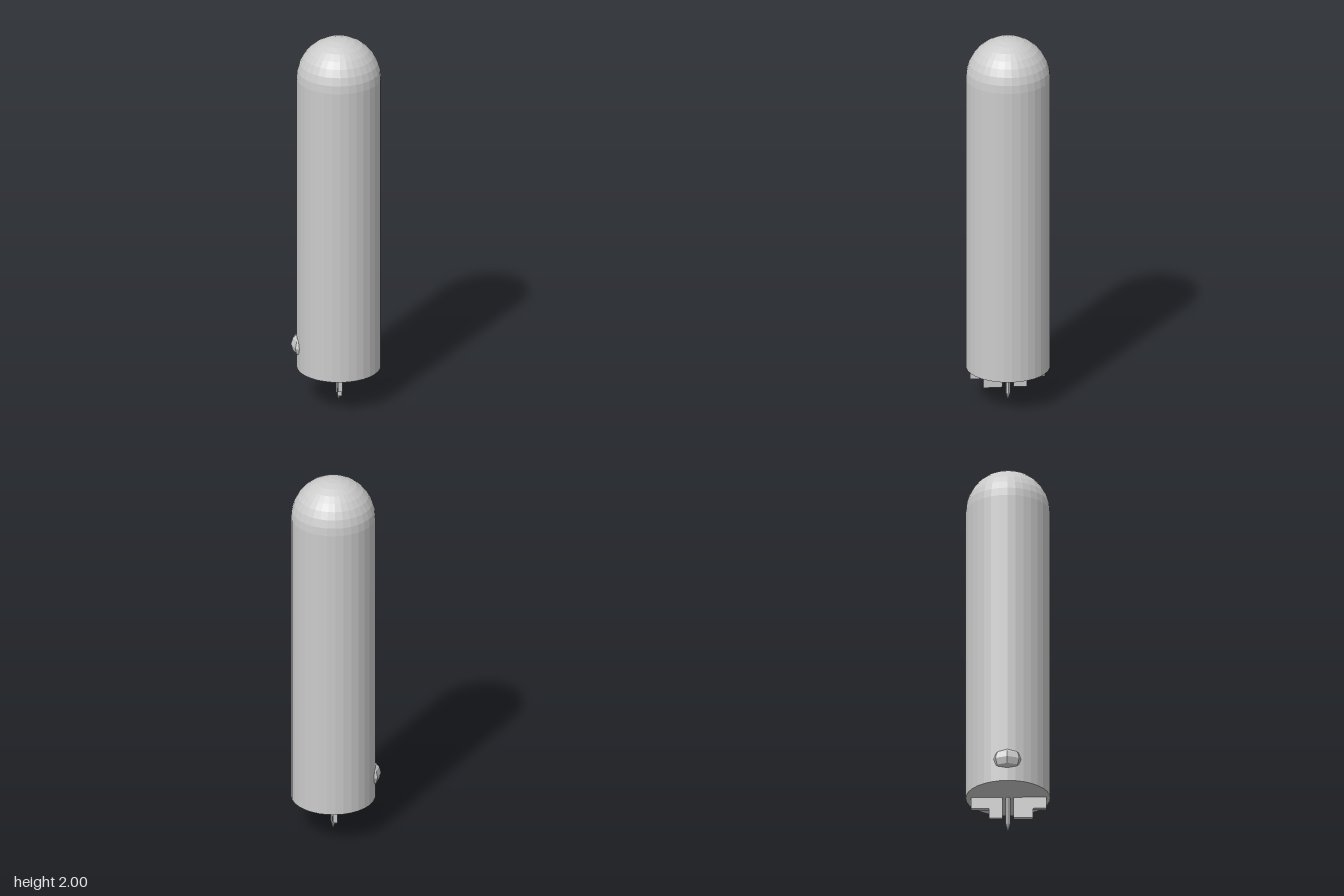
import * as THREE from 'three';

const AXIS_X = 0.013; // the body axis sits slightly left of centre because of the button

export function createModel() {
  const model = new THREE.Group();
  const material = new THREE.MeshStandardMaterial({ color: 0xcccccc, flatShading: true });
  const add = (name, geometry, x, y, z) => {
    const mesh = new THREE.Mesh(geometry, material);
    mesh.name = name;
    mesh.position.set(x, y, z);
    model.add(mesh);
    return mesh;
  };

  // Cylindrical body with a flat base and a hemispherical top
  const radius = 0.215, base = 0.187, shoulder = 2 - radius;
  const profile = [new THREE.Vector2(0, base), new THREE.Vector2(radius, base)];
  for (let i = 0; i <= 8; i++) {
    const a = (i / 8) * Math.PI / 2;
    profile.push(new THREE.Vector2(i === 8 ? 0 : radius * Math.cos(a), shoulder + radius * Math.sin(a)));
  }
  add('body', new THREE.LatheGeometry(profile, 32), AXIS_X, 0, 0);

  // Faceted button low on the right side
  const button = add('button', new THREE.SphereGeometry(1, 8, 6), -0.16, 0.31, 0);
  button.scale.set(0.07, 0.068, 0.085);

  // Stepped key blades under the base: side, outer edge and step edge along z
  const thickness = 0.022;
  for (const [name, side, outer, step] of [['frontBlade', 1, 0.195, 0.127], ['backBlade', -1, 0.187, 0.096]]) {
    const shape = new THREE.Shape([
      [0.028, 0.19], [outer, 0.19], [outer, 0.125], [step, 0.125], [step, 0.073], [0.028, 0.073],
    ].map(([z, y]) => new THREE.Vector2(side * z, y)));
    const blade = new THREE.ExtrudeGeometry(shape, { depth: thickness, bevelEnabled: false });
    blade.translate(0, 0, -thickness / 2).rotateY(-Math.PI / 2);
    add(name, blade, AXIS_X, 0, 0);
  }

  // Central pin with a pointed tip
  const pin = [[0, 0], [0.005, 0.012], [0.013, 0.04], [0.013, 0.19]].map(([r, y]) => new THREE.Vector2(r, y));
  add('pin', new THREE.LatheGeometry(pin, 8), AXIS_X, 0, 0);

  return model;
}
